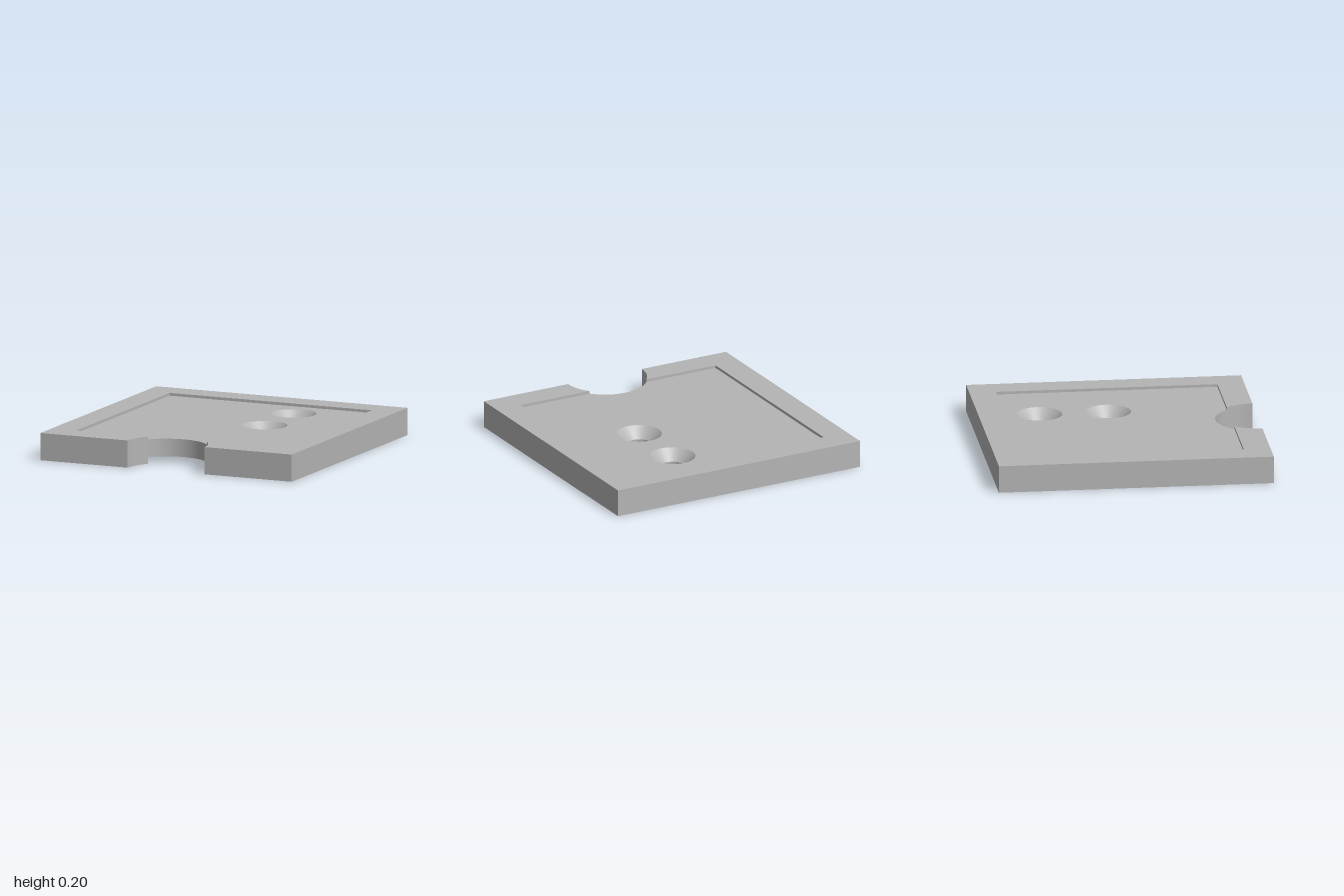
import * as THREE from 'three';
import { mergeGeometries } from 'three/addons/utils/BufferGeometryUtils.js';

const R = 0.305;                 // front notch radius, centred on the front edge
const EDGE = 0.805;              // front edge of both recesses
const A = Math.asin((1 - EDGE) / R);
const HOLES = [[0.3, -0.55], [0.3, -0.05]];
const H = 0.2, POCKET_Y = 0.18, RECESS_Y = 0.05, SINK_Y = 0.1, SINK_R = 0.165, BORE_R = 0.085;

// Points [x, z] along the notch
function arc(a0, a1, n) {
  return Array.from({ length: n + 1 }, (_, i) => {
    const a = a0 + (a1 - a0) * i / n;
    return [R * Math.cos(a), 1 - R * Math.sin(a)];
  });
}
const arcRight = arc(0, A, 12), arcMid = arc(A, Math.PI - A, 40), arcLeft = arc(Math.PI - A, Math.PI, 12);

// Flat horizontal face, looking up or down
function cap(points, y, up, holeRadius) {
  const shape = new THREE.Shape(points.map(([x, z]) => new THREE.Vector2(x, z)));
  if (holeRadius) for (const [x, z] of HOLES) {
    shape.holes.push(new THREE.Path().absarc(x, z, holeRadius, 0, Math.PI * 2, true));
  }
  const g = new THREE.ShapeGeometry(shape, 32).rotateX(Math.PI / 2).translate(0, y, 0);
  if (up) {
    g.index.array.reverse();
    g.computeVertexNormals();
  }
  return g;
}

// Upright wall along a path; smooth for curves, sharp for corners
function wall(points, y0, y1, smooth = false) {
  const pos = [], index = [];
  points.forEach(([x, z], i) => {
    pos.push(x, y0, z, x, y1, z);
    if (i) {
      const a = 2 * i - 2;
      index.push(a, a + 1, a + 3, a, a + 3, a + 2);
    }
  });
  let g = new THREE.BufferGeometry();
  g.setAttribute('position', new THREE.Float32BufferAttribute(pos, 3));
  g.setIndex(index);
  if (!smooth) g = g.toNonIndexed();
  g.computeVertexNormals();
  return g;
}

export function createModel() {
  const grey = new THREE.MeshStandardMaterial({ color: 0xb4b4b4 });
  grey.name = 'grey';
  const model = new THREE.Group();
  model.name = 'mountingPlate';
  function add(name, ...parts) {
    const flat = parts.map((g) => {
      const p = g.index ? g.toNonIndexed() : g;
      p.deleteAttribute('uv');
      return p;
    });
    const mesh = new THREE.Mesh(mergeGeometries(flat), grey);
    mesh.name = name;
    model.add(mesh);
  }

  // Rim around a recess that opens into the notch, and the recess floor
  const inner = (x0, x1, z0) => [[x1, EDGE], [x1, z0], [x0, z0], [x0, EDGE]];
  const rim = (path) => [[-1, -1], [1, -1], [1, 1], ...arcRight, ...path, ...arcLeft, [-1, 1]];
  const floor = ([fr, br, bl, fl]) => [bl, br, fr, ...arcMid, fl];
  const steps = (path) => [arcRight.at(-1), ...path, arcLeft[0]];
  const pocket = inner(-0.805, 0.805, -0.805);
  const recess = inner(-0.625, 0.43, 0.385);

  // Outer sides
  add('outerSides', wall([[-R, 1], [-1, 1], [-1, -1], [1, -1], [1, 1], [R, 1]], 0, H));

  // Raised rim and shallow pocket on top
  add('topRim', cap(rim(pocket), H, true), wall(steps(pocket), POCKET_Y, H));
  add('pocketFloor', cap(floor(pocket), POCKET_Y, true, SINK_R));

  // Underside with its offset recess
  add('underside', cap(rim(recess), 0, false, BORE_R), wall(steps(recess), 0, RECESS_Y));
  add('undersideRecess', cap(floor(recess), RECESS_Y, false));

  // Half-round notch in the front edge
  add('frontNotch', wall(arcRight, 0, H, true), wall(arcMid, RECESS_Y, POCKET_Y, true), wall(arcLeft, 0, H, true));

  // Countersunk screw holes
  const turned = (r0, y0, r1, y1) =>
    new THREE.LatheGeometry([new THREE.Vector2(r0, y0), new THREE.Vector2(r1, y1)], 64);
  for (const [x, z] of HOLES) {
    add('screwHole',
      turned(SINK_R, POCKET_Y, BORE_R, SINK_Y).translate(x, 0, z),
      turned(BORE_R, SINK_Y, BORE_R, 0).translate(x, 0, z));
  }
  return model;
}
